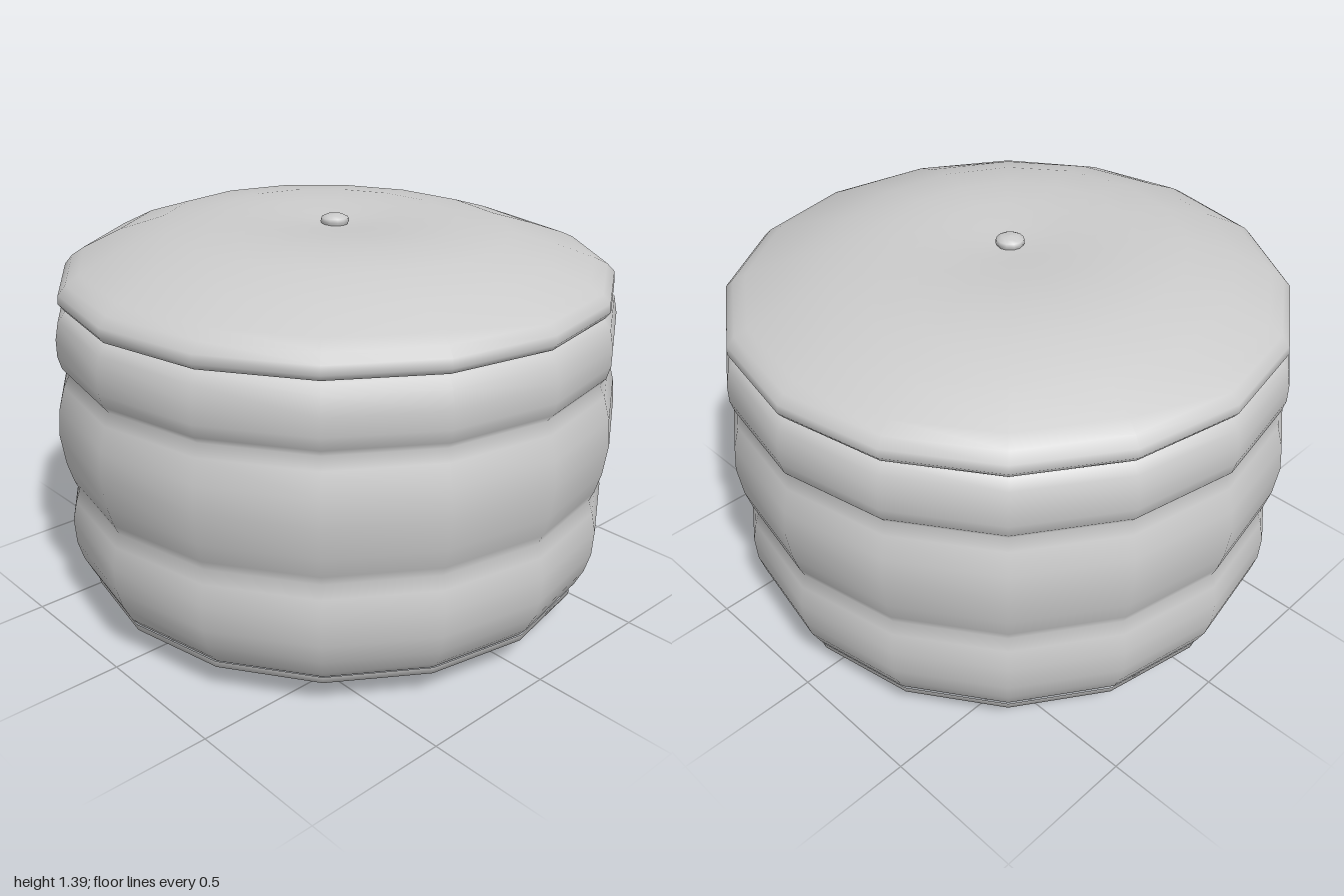
import * as THREE from 'three';

const SIDES = 16;

// Revolve [radius, height] pairs, listed from bottom to top
function lathe(profile, sides = SIDES) {
  return new THREE.LatheGeometry(profile.map(([r, y]) => new THREE.Vector2(r, y)), sides);
}

export function createModel() {
  const group = new THREE.Group();
  const material = new THREE.MeshStandardMaterial({ color: 0xcccccc });
  const add = (name, geometry) => {
    const mesh = new THREE.Mesh(geometry, material);
    mesh.name = name;
    group.add(mesh);
    return mesh;
  };

  // Shallow, slightly bulging underside
  add('base', lathe([[0, 0.005], [0.4, 0.025], [0.72, 0.047], [0.85, 0.08], [0.905, 0.11], [0.91, 0.135]]));

  // Three padded rolls stacked with soft grooves between them
  add('paddedSide', lathe([
    [0.9, 0.13], [0.925, 0.16], [0.955, 0.22], [0.975, 0.29], [0.98, 0.38], [0.965, 0.45], [0.95, 0.495],
    [0.965, 0.53], [0.985, 0.6], [1, 0.71], [0.992, 0.8], [0.97, 0.88], [0.95, 0.92],
    [0.97, 0.945], [0.982, 0.99], [0.982, 1.05], [0.97, 1.11], [0.945, 1.14], [0.92, 1.15],
  ]));

  // Cushion top with an overhanging lip and a dimpled middle
  const cushion = lathe([
    [0.92, 1.15], [0.95, 1.15], [0.965, 1.17], [0.962, 1.2], [0.935, 1.23], [0.89, 1.255], [0.76, 1.31],
    [0.6, 1.36], [0.43, 1.38], [0.28, 1.378], [0.14, 1.368], [0.05, 1.36], [0, 1.36],
  ]);
  // Let the stuffing sit a little higher towards the back and right
  const p = cushion.attributes.position;
  for (let i = 0; i < p.count; i++) {
    const x = p.getX(i), z = p.getZ(i), y = p.getY(i);
    const weight = THREE.MathUtils.smoothstep(y, 1.2, 1.36);
    p.setY(i, y - 0.02 * weight * (x + z));
  }
  add('cushionTop', cushion);

  // Small domed button in the dimple
  const button = add('button', lathe([[0.04, 1.35], [0.05, 1.37], [0.046, 1.382], [0.03, 1.39], [0, 1.393]], 12));
  button.position.x = -0.01;

  return group;
}
